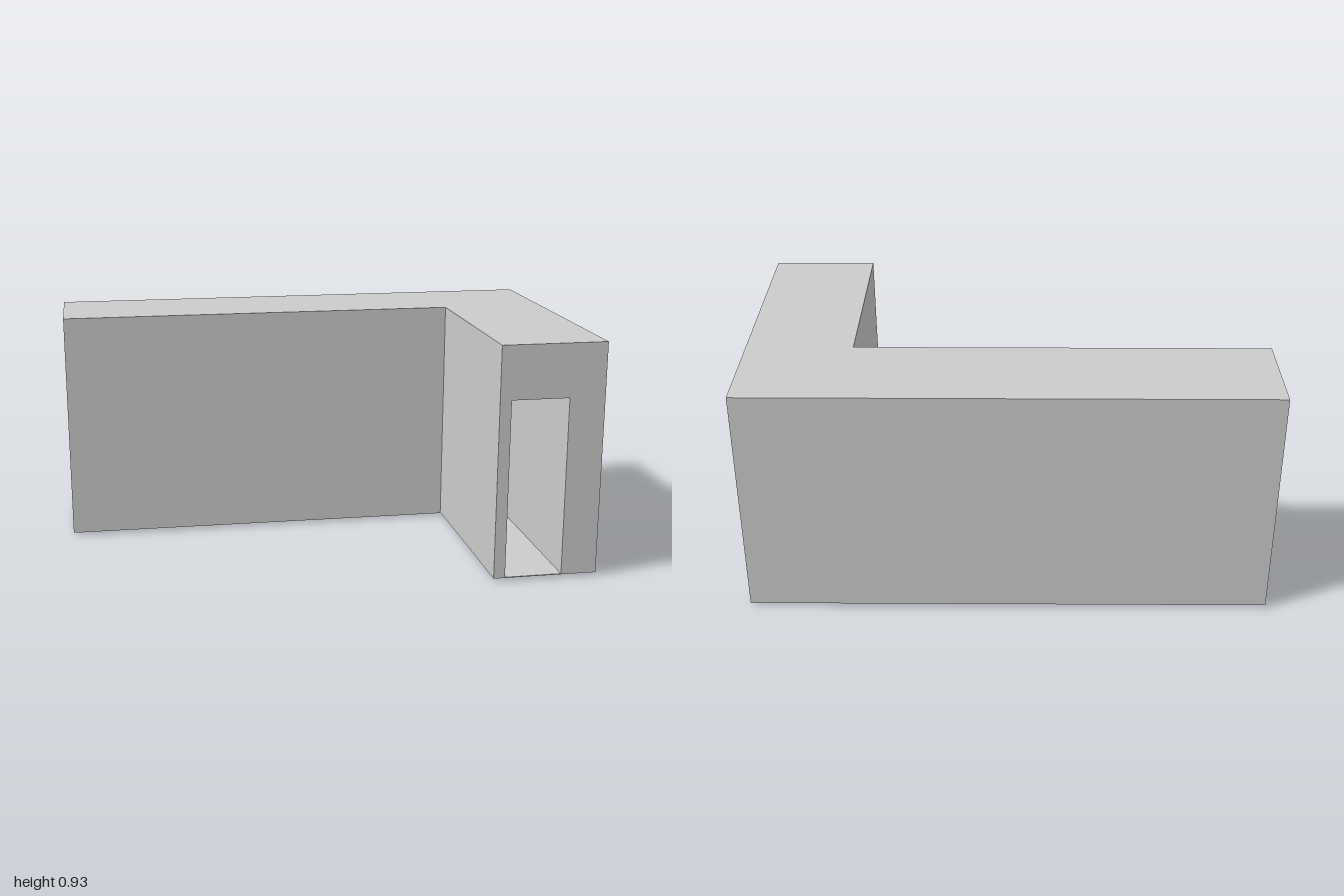
import * as THREE from 'three';

const BASE = 0.012, CEILING = 0.715, TOP = 0.925;

export function createModel() {
  const group = new THREE.Group();
  const material = new THREE.MeshStandardMaterial({ color: 0xcccccc, flatShading: true });

  const add = (name, geometry) => {
    const mesh = new THREE.Mesh(geometry, material);
    mesh.name = name;
    group.add(mesh);
    return mesh;
  };

  // Extrudes a plan outline of [x, z] points between two heights
  const slab = (name, plan, bottom, top) => {
    const shape = new THREE.Shape(plan.map(([x, z]) => new THREE.Vector2(x, z)));
    const geometry = new THREE.ExtrudeGeometry(shape, { depth: top - bottom, bevelEnabled: false });
    geometry.rotateX(Math.PI / 2).translate(0, top, 0);
    return add(name, geometry);
  };

  // L-shaped band between a back/right line and a front/left line
  const bend = (xOuter, zOuter, xInner, zInner) => [
    [-1, zOuter], [xOuter, zOuter], [xOuter, 0.6],
    [xInner, 0.6], [xInner, zInner], [-1, zInner],
  ];

  // Corridor walls, roof and floor around the bent passage
  slab('outerWall', bend(1, -0.6, 0.86, -0.495), BASE, CEILING);
  slab('innerWall', bend(0.635, -0.235, 0.59, -0.2), BASE, CEILING);
  slab('roof', bend(1, -0.6, 0.59, -0.2), CEILING, TOP);
  slab('floor', bend(0.86, -0.495, 0.635, -0.235), BASE, BASE + 0.003);

  // Thin plates under the long arm, sloping down towards the bend
  const slopingPlate = (name, zBack, zFront, xEnd, yStart, yEnd) => {
    const profile = new THREE.Shape([
      new THREE.Vector2(-1, BASE), new THREE.Vector2(-1, yStart),
      new THREE.Vector2(xEnd, yEnd), new THREE.Vector2(xEnd, BASE),
    ]);
    const geometry = new THREE.ExtrudeGeometry(profile, { depth: zFront - zBack, bevelEnabled: false });
    add(name, geometry.translate(0, 0, zBack));
  };
  slopingPlate('wideBasePlate', -0.53, -0.2, 0.59, 0.0115, 0.008);
  slopingPlate('narrowBasePlate', -0.495, -0.235, 0.635, 0.01, 0);

  return group;
}
